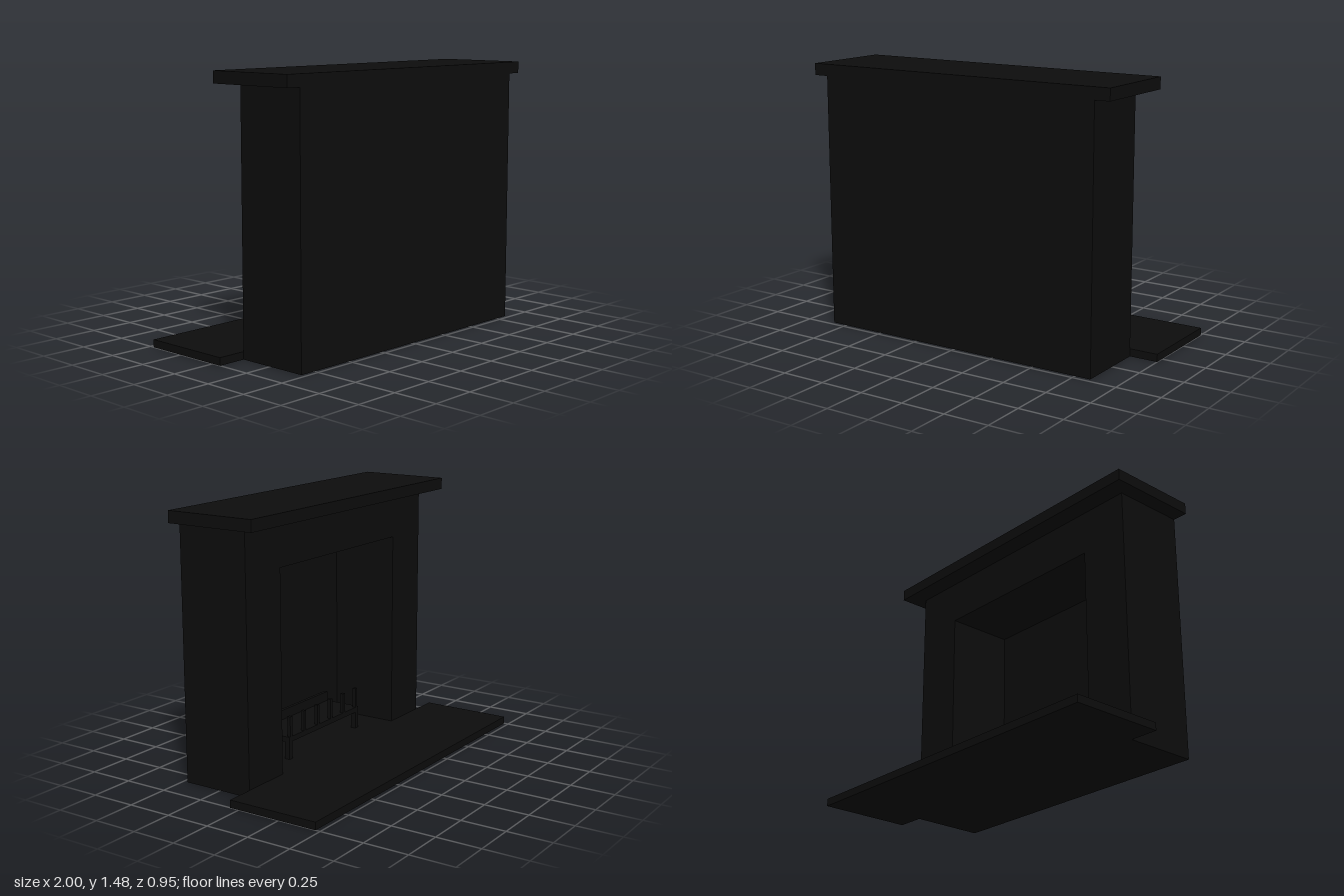
import * as THREE from 'three';

export function createModel() {
  const model = new THREE.Group();
  model.name = 'fireplace';
  const black = new THREE.MeshStandardMaterial({ color: 0x0d0d0d });
  black.name = 'soot black';

  // Box given by its min and max on each axis
  function block(parent, name, [x0, x1], [y0, y1], [z0, z1]) {
    const mesh = new THREE.Mesh(new THREE.BoxGeometry(x1 - x0, y1 - y0, z1 - z0), black);
    mesh.position.set((x0 + x1) / 2, (y0 + y1) / 2, (z0 + z1) / 2);
    mesh.name = name;
    parent.add(mesh);
    return mesh;
  }

  const W = 0.84, OPEN = 0.55, OPEN_TOP = 1.165, TOP = 1.41;
  const FRONT = 0.055, INNER = 0.45, BACK = 0.473, FLOOR = 0.042;

  // Surround: two piers and a lintel as one arch-shaped extrusion
  const outline = new THREE.Shape();
  [[-W, 0], [-OPEN, 0], [-OPEN, OPEN_TOP], [OPEN, OPEN_TOP], [OPEN, 0], [W, 0], [W, TOP], [-W, TOP]]
    .forEach(([x, y], i) => (i ? outline.lineTo(x, y) : outline.moveTo(x, y)));
  const surround = new THREE.Mesh(
    new THREE.ExtrudeGeometry(outline, { depth: INNER - FRONT, bevelEnabled: false }), black);
  surround.position.z = FRONT;
  surround.name = 'surround';
  model.add(surround);

  // Back wall, firebox floor, mantel shelf and hearth slab
  block(model, 'backWall', [-W, W], [0, TOP], [INNER, BACK]);
  block(model, 'fireboxFloor', [-OPEN, OPEN], [0, FLOOR], [FRONT, INNER]);
  block(model, 'mantelShelf', [-0.925, 0.925], [TOP, 1.475], [-0.052, BACK]);
  block(model, 'hearthSlab', [-1, 1], [0, FLOOR], [-BACK, FRONT]);

  // Fire grate: four legs, tray, back and side walls, front row of uprights
  const grate = new THREE.Group();
  grate.name = 'grate';
  model.add(grate);
  const GX = 0.345, Z0 = 0.16, Z1 = 0.4;
  block(grate, 'tray', [-GX, GX], [0.14, 0.17], [Z0, Z1]);
  block(grate, 'grateBack', [-GX, GX], [0.17, 0.225], [Z1 - 0.02, Z1]);
  for (const s of [-1, 1]) {
    for (const z of [Z0, Z1 - 0.03]) {
      const x = s * (GX - 0.015);
      block(grate, 'grateLeg', [x - 0.015, x + 0.015], [FLOOR, 0.14], [z, z + 0.03]);
    }
  }
  for (let i = 0; i < 6; i++) {
    const x = -0.325 + i * 0.13;
    block(grate, 'grateUpright', [x - 0.01, x + 0.01], [0.16, 0.285], [Z0, Z0 + 0.02]);
  }

  return model;
}
